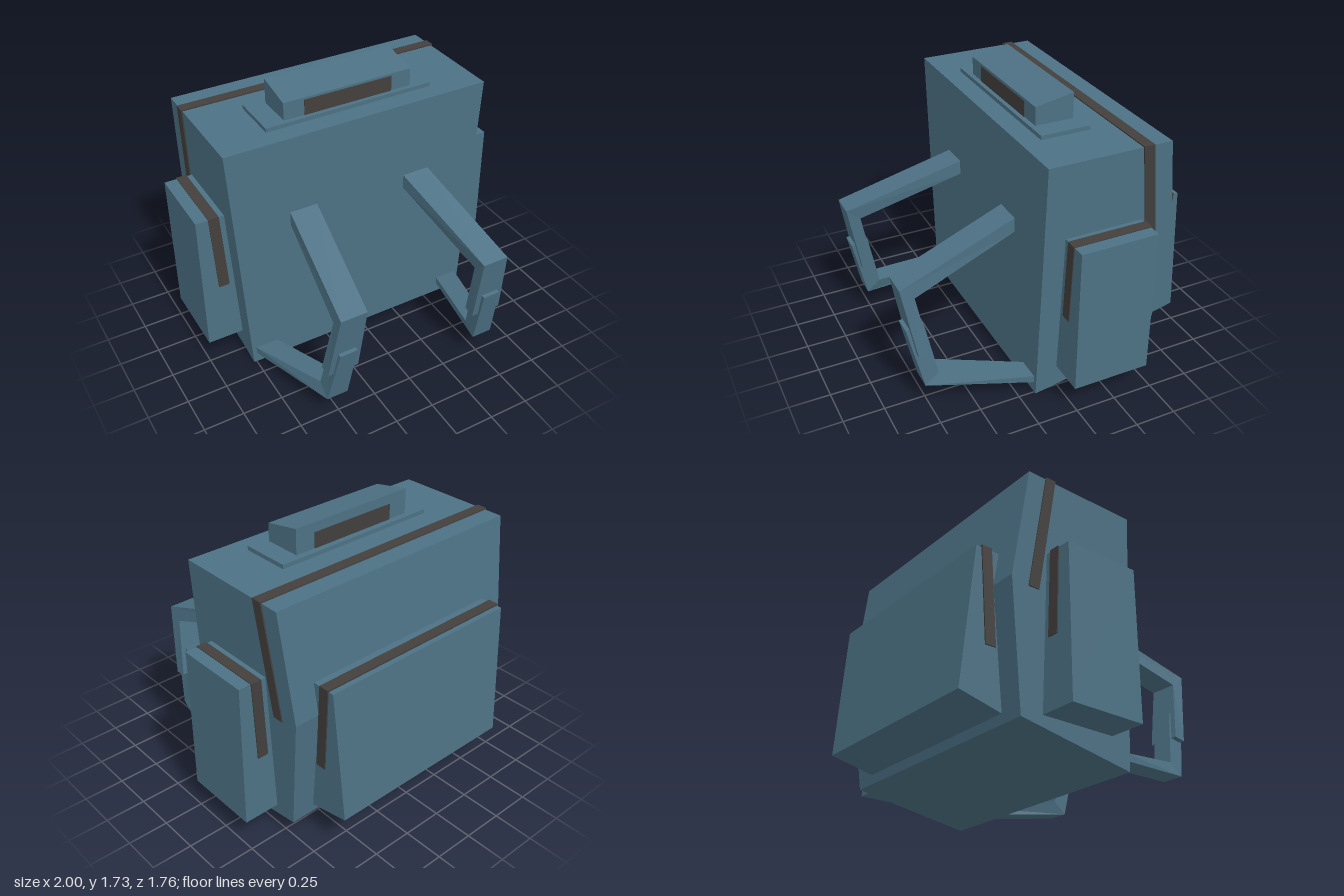
import * as THREE from 'three';

const fabric = new THREE.MeshStandardMaterial({ color: 0x4c7184 });
fabric.name = 'blue fabric';
const zip = new THREE.MeshStandardMaterial({ color: 0x423f3d });
zip.name = 'dark zip';

// Convex side profile of [z, y, x0, x1] points, counter-clockwise seen from +x,
// spanning x0..x1 at each point; side = -1 mirrors it in x.
function slab(name, material, profile, side = 1) {
  const pos = [];
  const right = profile.map(([z, y, x0, x1]) => [side > 0 ? x1 : -x0, y, z]);
  const left = profile.map(([z, y, x0, x1]) => [side > 0 ? x0 : -x1, y, z]);
  const tri = (a, b, c) => pos.push(...a, ...b, ...c);
  const n = profile.length;
  for (let i = 0; i < n; i++) {
    const j = (i + 1) % n;
    tri(right[i], left[i], left[j]);
    tri(right[i], left[j], right[j]);
    if (i > 0 && j > 0) {
      tri(right[0], right[i], right[j]);
      tri(left[0], left[j], left[i]);
    }
  }
  const geometry = new THREE.BufferGeometry();
  geometry.setAttribute('position', new THREE.Float32BufferAttribute(pos, 3));
  geometry.computeVertexNormals();
  const mesh = new THREE.Mesh(geometry, material);
  mesh.name = name;
  return mesh;
}

// Point of a profile that is symmetric in x
const sym = (z, y, w) => [z, y, -w, w];

export function createModel() {
  const model = new THREE.Group();
  model.name = 'backpack';

  // Main bag, widening upward, with a creased back
  const bagWidth = (y) => 0.767 + 0.0545 * y;
  const bagPoint = ([z, y]) => sym(z, y, bagWidth(y));
  model.add(slab('mainBag', fabric,
    [[0.15, 0], [-0.6, 0.13], [-0.69, 0.88], [-0.6, 1.545], [0.15, 1.545]].map(bagPoint)));
  model.add(slab('mainZip', zip, [
    sym(-0.51, 0.85, 0.82), sym(-0.58, 0.85, 0.82),
    sym(-0.483, 1.553, 0.86), sym(-0.417, 1.553, 0.86)]));

  // Large pocket on the back
  model.add(slab('backPocket', fabric, [
    sym(-0.58, 0.18, 0.63), sym(-0.877, 0.25, 0.633),
    sym(-0.812, 1.08, 0.667), sym(-0.62, 1.08, 0.667)]));
  model.add(slab('backPocketZip', zip, [
    sym(-0.663, 0.53, 0.652), sym(-0.729, 0.53, 0.652),
    sym(-0.78, 1.09, 0.675), sym(-0.715, 1.09, 0.675)]));

  // Carry handle on top
  model.add(slab('handleBase', fabric, [
    sym(0.03, 1.54, 0.54), sym(-0.275, 1.54, 0.54),
    sym(-0.275, 1.57, 0.54), sym(0.03, 1.57, 0.54)]));
  model.add(slab('handle', fabric, [
    sym(0, 1.56, 0.415), sym(-0.235, 1.56, 0.415),
    sym(-0.235, 1.725, 0.415), sym(0, 1.68, 0.415)]));
  for (const [name, z] of [['handleFrontOpening', 0], ['handleBackOpening', -0.235]]) {
    const plate = new THREE.Mesh(new THREE.BoxGeometry(0.57, 0.096, 0.008), zip);
    plate.name = name;
    plate.position.set(0, 1.618, z);
    model.add(plate);
  }

  for (const side of [1, -1]) {
    const label = side > 0 ? 'left' : 'right';

    // Side pocket with its leaning zip
    const pocket = new THREE.Mesh(new THREE.BoxGeometry(0.25, 0.91, 0.48), fabric);
    pocket.name = label + 'SidePocket';
    pocket.position.set(side * 0.875, 0.625, -0.22);
    model.add(pocket);
    model.add(slab(label + 'SidePocketZip', zip, [
      [0.025, 0.58, 0.833, 0.9], [-0.467, 0.58, 0.833, 0.9],
      [-0.467, 1.085, 0.859, 0.924], [0.025, 1.085, 0.859, 0.924]], side));

    // Shoulder strap: wide padded top, narrower webbing below
    const strap = new THREE.Group();
    strap.name = label + 'ShoulderStrap';
    strap.add(
      slab('upperStrap', fabric, [
        [0.88, 0.825, 0.387, 0.552], [0.795, 0.755, 0.387, 0.552],
        [0.15, 0.965, 0.297, 0.472], [0.15, 1.055, 0.297, 0.472]], side),
      slab('frontStrap', fabric, [
        [0.804, 0.375, 0.4, 0.595], [0.733, 0.388, 0.4, 0.595],
        [0.795, 0.755, 0.387, 0.552], [0.88, 0.825, 0.387, 0.552]], side),
      slab('frontWebbing', fabric, [
        [0.77, 0.15, 0.45, 0.583], [0.685, 0.22, 0.45, 0.583],
        [0.748, 0.56, 0.433, 0.543], [0.856, 0.545, 0.433, 0.543]], side),
      slab('lowerWebbing', fabric, [
        [0.77, 0.15, 0.45, 0.583], [0.15, 0.07, 0.6, 0.745],
        [0.15, 0.115, 0.6, 0.745], [0.685, 0.22, 0.45, 0.583]], side));
    model.add(strap);
  }
  return model;
}
